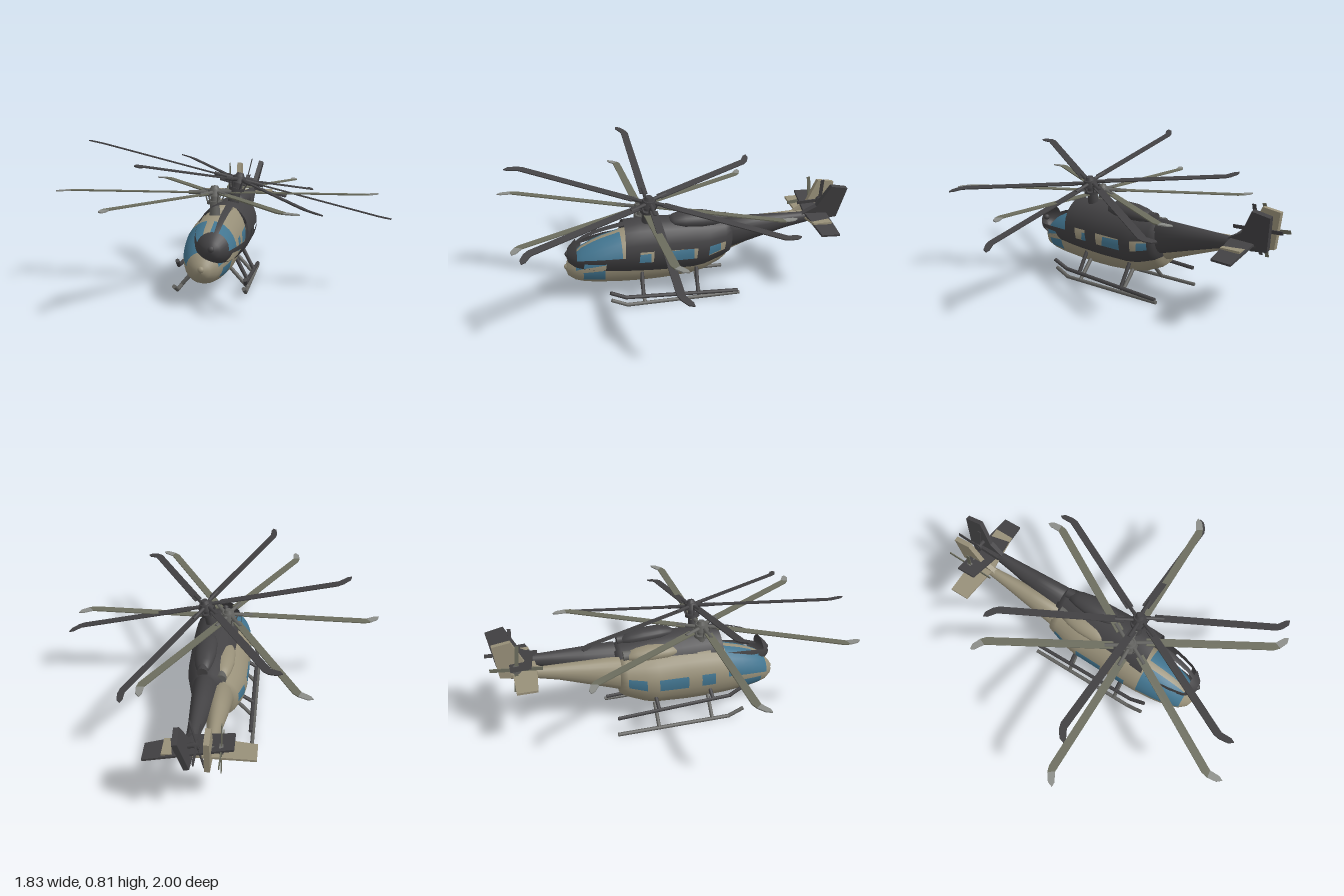
import * as THREE from 'three';

const mat = (name, color) => new THREE.MeshStandardMaterial({ name, color, side: THREE.DoubleSide });

const DEG = Math.PI / 180;
// cross-section angles, from belly to roof, mirrored to a full ring
const HALF = [-90, -72, -56, -40, -25, -9, 5, 16, 30, 45, 60, 72, 82, 90];
const RING = [...HALF, ...HALF.slice(1, -1).reverse().map(a => 180 - a), 270];

// cabin stations: z, bottom, top, half width
const CABIN = [
  [0.652, 0.185, 0.2, 0.008], [0.64, 0.15, 0.235, 0.045], [0.6, 0.122, 0.28, 0.082],
  [0.56, 0.11, 0.315, 0.1], [0.5, 0.1, 0.345, 0.116], [0.44, 0.094, 0.367, 0.127],
  [0.34, 0.086, 0.395, 0.138], [0.26, 0.082, 0.405, 0.14], [0.18, 0.08, 0.41, 0.14],
  [0.1, 0.081, 0.412, 0.14], [-0.07, 0.092, 0.41, 0.137], [-0.14, 0.107, 0.406, 0.128],
  [-0.24, 0.15, 0.398, 0.1], [-0.28, 0.18, 0.39, 0.088]
];
const BOOM = [[-0.27, 0.2, 0.405, 0.074], [-0.45, 0.265, 0.41, 0.056], [-0.62, 0.325, 0.415, 0.038],
  [-0.76, 0.36, 0.42, 0.025], [-0.87, 0.375, 0.42, 0.016]];
const ENGINE = [[0.08, 0.39, 0.42, 0.02], [0.06, 0.375, 0.435, 0.045], [0, 0.365, 0.452, 0.062],
  [-0.1, 0.36, 0.455, 0.062], [-0.17, 0.365, 0.445, 0.05], [-0.22, 0.375, 0.43, 0.034]];

// window panes: z range and angle range above the horizontal
const PANES = [
  [0.34, 0.6, 5, 82], [0.44, 0.56, -40, -9],
  [0.18, 0.26, -9, 16], [-0.07, 0.1, -9, 16], [-0.24, -0.14, -9, 16]
];
const isPane = (z, a) => {
  const e = a > 90 ? 180 - a : a;
  return PANES.some(p => z > p[0] && z < p[1] && e > p[2] && e < p[3]);
};

// skin through elliptical stations; group 0 is body, group 1 is window panes
function loft(stations, panes) {
  const first = stations[0], last = stations[stations.length - 1];
  const tip = s => [s[0], (s[1] + s[2]) / 2 - 0.0005, (s[1] + s[2]) / 2 + 0.0005, 0.0005];
  const rows = [tip(first), ...stations, tip(last)];
  const pos = [], body = [], glass = [], n = RING.length;
  for (const [z, b, t, w] of rows)
    for (const a of RING)
      pos.push(w * Math.cos(a * DEG), (b + t) / 2 + (t - b) / 2 * Math.sin(a * DEG), z);
  for (let i = 0; i < rows.length - 1; i++)
    for (let j = 0; j < n - 1; j++) {
      const a = i * n + j, b = a + n;
      const pane = panes && isPane((rows[i][0] + rows[i + 1][0]) / 2, (RING[j] + RING[j + 1]) / 2);
      (pane ? glass : body).push(a, b, b + 1, a, b + 1, a + 1);
    }
  const g = new THREE.BufferGeometry();
  g.setAttribute('position', new THREE.Float32BufferAttribute(pos, 3));
  g.setIndex([...body, ...glass]);
  g.computeVertexNormals();
  g.addGroup(0, body.length, 0);
  if (glass.length) g.addGroup(body.length, glass.length, 1);
  return g;
}

function add(parent, name, geometry, material, x = 0, y = 0, z = 0) {
  const m = new THREE.Mesh(geometry, material);
  m.name = name;
  m.position.set(x, y, z);
  parent.add(m);
  return m;
}

function rod(parent, name, a, b, r, material) {
  const p = new THREE.Vector3(...a), q = new THREE.Vector3(...b), d = q.clone().sub(p);
  const m = add(parent, name, new THREE.CylinderGeometry(r, r, d.length(), 8), material);
  m.position.copy(p).add(q).multiplyScalar(0.5);
  m.quaternion.setFromUnitVectors(new THREE.Vector3(0, 1, 0), d.normalize());
}

// flat plate from an outline, centred on its thickness
function plate(points, depth) {
  const shape = new THREE.Shape(points.map(p => new THREE.Vector2(...p)));
  return new THREE.ExtrudeGeometry(shape, { depth, bevelEnabled: false }).translate(0, 0, -depth / 2);
}

function makeRotor(c, scale) {
  const rotor = new THREE.Group();
  rotor.name = 'mainRotor';
  rotor.position.set(0, 0.53, 0.21);
  add(rotor, 'mast', new THREE.CylinderGeometry(0.02, 0.032, 0.14, 12), c.hub, 0, -0.07, 0);
  add(rotor, 'swashPlate', new THREE.CylinderGeometry(0.042, 0.042, 0.016, 16), c.hub, 0, -0.055, 0);
  add(rotor, 'hub', new THREE.CylinderGeometry(0.034, 0.045, 0.035, 16), c.hub);
  add(rotor, 'hubCap', new THREE.CylinderGeometry(0.018, 0.028, 0.02, 12), c.hub, 0, 0.026, 0);
  const blade = plate([[0.09, -0.01], [0.79, -0.01], [0.825, 0.002], [0.8, 0.034], [0.77, 0.034], [0.09, 0.034]], 0.006)
    .rotateX(-Math.PI / 2);
  const tip = plate([[0.825, 0.002], [0.865, 0.032], [0.875, 0.062], [0.85, 0.062], [0.8, 0.034]], 0.006)
    .rotateX(-Math.PI / 2);
  for (let i = 0; i < 6; i++) {
    const arm = new THREE.Group();
    arm.name = 'bladeArm';
    arm.rotation.y = i * Math.PI / 3;
    arm.scale.set(scale, 1, scale);
    rod(arm, 'bladeRoot', [0.03, 0, -0.008], [0.14, 0, -0.012], 0.011, c.hub);
    rod(arm, 'pitchLink', [0.038, -0.055, 0], [0.055, 0, 0], 0.004, c.hub);
    add(arm, 'blade', blade, c.blade);
    add(arm, 'bladeTip', tip, c.tip);
    rotor.add(arm);
  }
  return rotor;
}

function makeHelicopter(name, c, rotorScale) {
  const h = new THREE.Group();
  h.name = name;

  // cabin with panes, or open window frames when there is no glass
  const cabin = loft(CABIN, true);
  if (!c.glass) cabin.groups.length = 1;
  add(h, 'cabin', cabin, c.glass ? [c.body, c.glass] : [c.body]);
  add(h, 'tailBoom', loft(BOOM), [c.body]);
  add(h, 'engineCowl', loft(ENGINE), [c.body]);
  add(h, 'exhaust', new THREE.CylinderGeometry(0.026, 0.03, 0.07, 12).rotateX(Math.PI / 2), c.hub, 0, 0.408, -0.215);
  add(h, 'noseLens', new THREE.SphereGeometry(0.018, 12, 8), c.body, 0, 0.2, 0.642);
  h.add(makeRotor(c, rotorScale));

  // tail surfaces
  const fin = plate([[0.7, 0.41], [0.79, 0.465], [0.855, 0.6], [0.955, 0.585], [0.93, 0.39], [0.84, 0.375]], 0.028);
  add(h, 'tailFin', fin.rotateY(Math.PI / 2), c.body);
  const stabilizer = plate([[-0.23, 0.75], [0, 0.725], [0.23, 0.75], [0.23, 0.86], [-0.23, 0.86]], 0.012);
  add(h, 'stabilizer', stabilizer.rotateX(-Math.PI / 2), c.body, 0, 0.415, 0);

  // tail rotor
  const tail = new THREE.Group();
  tail.name = 'tailRotor';
  tail.position.set(-0.06, 0.46, -0.84);
  rod(tail, 'tailShaft', [-0.012, 0, 0], [0.06, 0, 0], 0.013, c.hub);
  add(tail, 'tailHub', new THREE.CylinderGeometry(0.026, 0.026, 0.02, 12).rotateZ(Math.PI / 2), c.hub);
  for (let i = 0; i < 4; i++) {
    const b = new THREE.Group();
    b.name = 'tailBlade';
    b.rotation.x = i * Math.PI / 2 + 0.1;
    add(b, 'tailBladePlate', new THREE.BoxGeometry(0.005, 0.125, 0.02), c.blade, 0, 0.078, 0);
    tail.add(b);
  }
  h.add(tail);

  // landing skids
  for (const s of [-1, 1]) {
    rod(h, 'skid', [s * 0.185, 0.012, -0.33], [s * 0.185, 0.012, 0.335], 0.011, c.skid);
    rod(h, 'skidToe', [s * 0.185, 0.012, 0.33], [s * 0.185, 0.052, 0.42], 0.011, c.skid);
    for (const z of [0.23, -0.09])
      rod(h, 'skidStrut', [s * 0.085, 0.125, z], [s * 0.185, 0.014, z], 0.011, c.skid);
  }
  return h;
}

export function createModel() {
  const model = new THREE.Group();
  model.name = 'twoHelicopters';

  const tan = mat('tan paint', 0x989079);
  const black = mat('charcoal paint', 0x434244);
  const glass = mat('blue glass', 0x427590);
  const olive = mat('olive blade', 0x6b6c5d);
  const grey = mat('grey metal', 0x62625f);
  const pale = mat('pale blade tip', 0x8a8c88);

  // upright helicopter
  const upright = makeHelicopter('tanHelicopter',
    { body: tan, glass, hub: grey, blade: olive, tip: pale, skid: grey }, 1);
  upright.position.x = -0.04;
  model.add(upright);

  // banked helicopter with open windows, placed by its rotor hub
  const banked = makeHelicopter('charcoalHelicopter',
    { body: black, glass: null, hub: black, blade: black, tip: black, skid: black }, 0.965);
  banked.rotation.set(-3 * DEG, 0, -14 * DEG);
  const hub = new THREE.Vector3(0, 0.53, 0.21).applyEuler(banked.rotation);
  banked.position.set(0.09, 0.6, 0.19).sub(hub);
  model.add(banked);

  return model;
}
